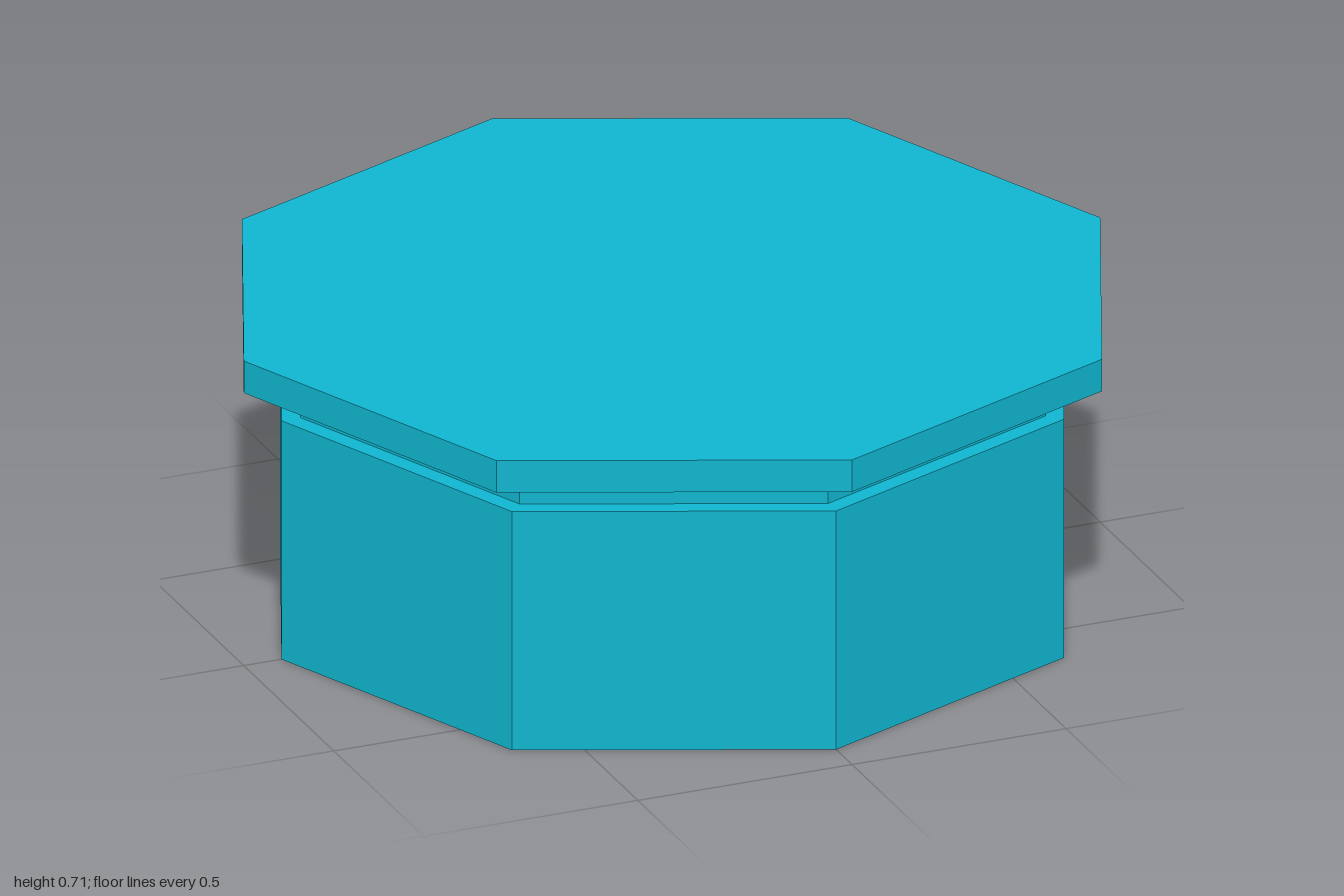
import * as THREE from 'three';

export function createModel() {
  const group = new THREE.Group();
  group.name = 'octagonalJar';

  const teal = new THREE.MeshStandardMaterial({ color: 0x10b4ce, flatShading: true });
  teal.name = 'teal';

  // Eight-sided prism with corners on the x and z axes
  const addPrism = (name, radius, bottom, top) => {
    const geometry = new THREE.CylinderGeometry(radius, radius, top - bottom, 8);
    const mesh = new THREE.Mesh(geometry, teal);
    mesh.name = name;
    mesh.position.y = (bottom + top) / 2;
    group.add(mesh);
  };

  addPrism('body', 0.912, 0, 0.56);
  addPrism('neck', 0.868, 0.56, 0.64);
  addPrism('lid', 1, 0.64, 0.715);

  return group;
}
